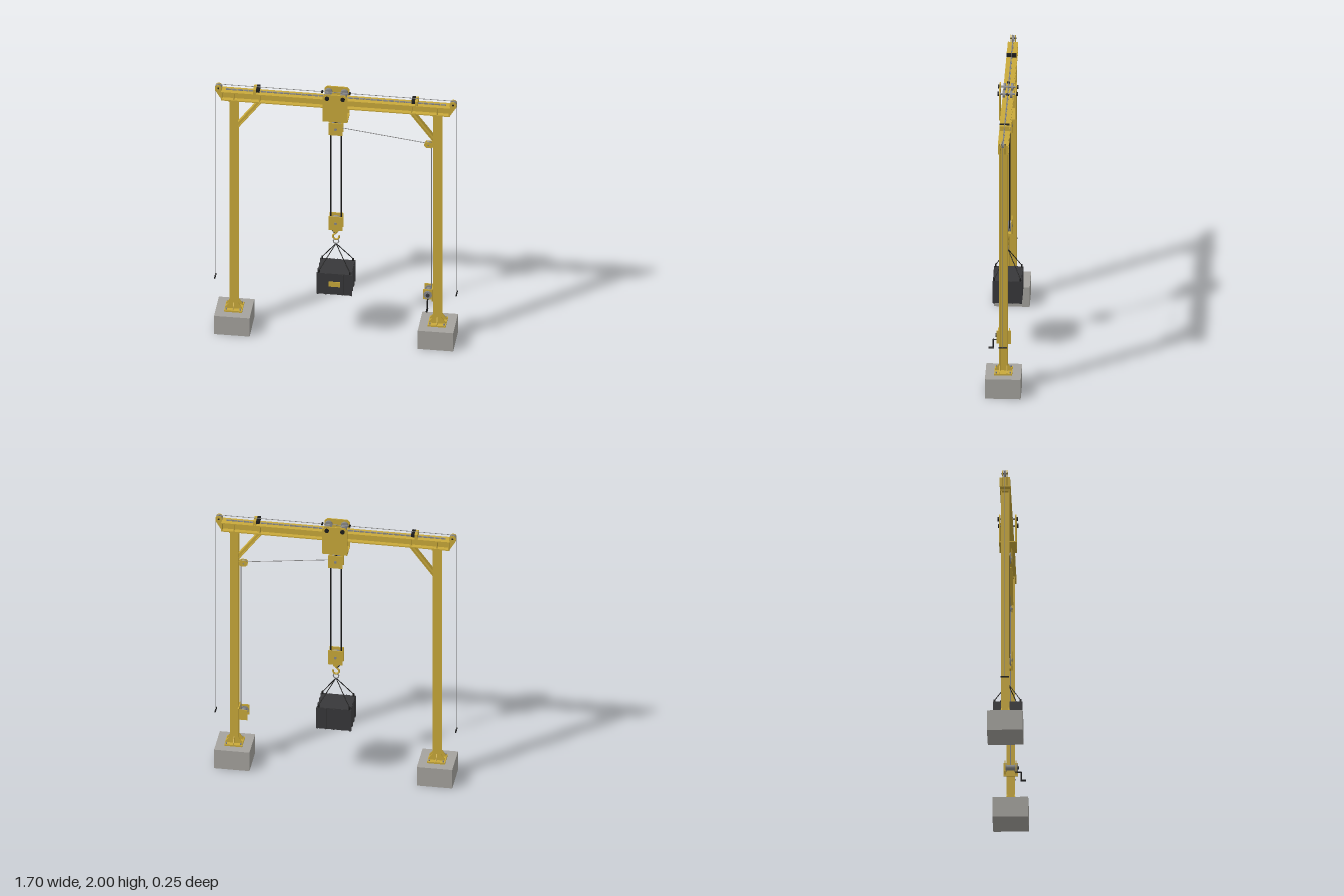
import * as THREE from 'three';

const mat = (color, o = {}) => new THREE.MeshStandardMaterial({ color, ...o });

export function createModel() {
  const root = new THREE.Group();
  const yellow = mat(0xc9a93a), dark = mat(0x38383a), black = mat(0x1c1c1c);
  const steel = mat(0x888888), concrete = mat(0xa5a39e);

  const add = (name, geo, m, x = 0, y = 0, z = 0, parent = root) => {
    const mesh = new THREE.Mesh(geo, m);
    mesh.name = name;
    mesh.position.set(x, y, z);
    parent.add(mesh);
    return mesh;
  };
  const box = (name, w, h, d, m, x, y, z, p) => add(name, new THREE.BoxGeometry(w, h, d), m, x, y, z, p);
  // Round part with its axis along z
  const disc = (name, r, len, m, x, y, z, p, n = 24) =>
    add(name, new THREE.CylinderGeometry(r, r, len, n).rotateX(Math.PI / 2), m, x, y, z, p);
  // Straight round bar between two points
  const rod = (name, a, b, r, m, p) => {
    const va = new THREE.Vector3(...a), d = new THREE.Vector3(...b).sub(va);
    const mesh = add(name, new THREE.CylinderGeometry(r, r, d.length(), 8), m, 0, 0, 0, p);
    mesh.position.copy(va).addScaledVector(d, 0.5);
    mesh.quaternion.setFromUnitVectors(new THREE.Vector3(0, 1, 0), d.normalize());
    return mesh;
  };
  // Flat plate from an outline in x and y, centred on z
  const plate = (name, pts, t, m, x, y, z, p) => {
    const s = new THREE.Shape(pts.map(q => new THREE.Vector2(...q)));
    return add(name, new THREE.ExtrudeGeometry(s, { depth: t, bevelEnabled: false }).translate(0, 0, -t / 2), m, x, y, z, p);
  };
  // Grooved wheel with its axis along z
  const sheave = (name, r, w, x, y, z, p) => {
    const pts = [[0, -w / 2], [r, -w / 2], [r, -w / 3], [r * 0.8, 0], [r, w / 3], [r, w / 2], [0, w / 2]];
    const geo = new THREE.LatheGeometry(pts.map(q => new THREE.Vector2(...q)), 28).rotateX(Math.PI / 2);
    return add(name, geo, mat(0x888888, { flatShading: true }), x, y, z, p);
  };
  const group = (name, p = root) => {
    const g = new THREE.Group();
    g.name = name;
    p.add(g);
    return g;
  };

  const colX = 0.711;

  // Columns, footings and beam ends, one set per side
  for (const s of [-1, 1]) {
    const side = s > 0 ? 'left' : 'right';
    box(side + 'Footing', 0.248, 0.15, 0.248, concrete, s * colX, 0.075, 0);

    const col = group(side + 'Column');
    col.position.x = s * colX;
    for (const z of [-1, 1]) box('columnFlange', 0.058, 1.72, 0.008, yellow, 0, 1.015, z * 0.026, col);
    box('columnWeb', 0.008, 1.72, 0.046, yellow, 0, 1.015, 0, col);
    box('capPlate', 0.07, 0.008, 0.068, yellow, 0, 1.872, 0, col);

    // Base plate with gussets and anchor bolts
    box('basePlate', 0.125, 0.012, 0.124, yellow, 0, 0.156, 0, col);
    for (const a of [-1, 1]) {
      for (const b of [-1, 1]) {
        plate('baseGusset', [[0, 0], [a * 0.03, 0], [a * 0.03, 0.008], [0, 0.05]], 0.006, yellow, a * 0.029, 0.162, b * 0.026, col);
        add('anchorBolt', new THREE.CylinderGeometry(0.006, 0.006, 0.012, 6), steel, a * 0.05, 0.167, b * 0.049, col);
      }
      const g = plate('baseGusset', [[0, 0], [0.03, 0], [0.03, 0.008], [0, 0.05]], 0.006, yellow, 0, 0.162, a * 0.03, col);
      g.rotation.y = -a * Math.PI / 2;
    }

    // Diagonal brace, a channel with two lips
    const brace = group(side + 'Brace');
    brace.position.set(s * 0.608, 1.768, 0);
    brace.rotation.z = s * 0.64;
    box('braceWeb', 0.026, 0.275, 0.008, yellow, 0, 0, 0, brace);
    for (const a of [-1, 1]) box('braceLip', 0.006, 0.275, 0.036, yellow, a * 0.011, 0, 0, brace);

    // Beam end plate and stiffeners
    box('endPlate', 0.008, 0.07, 0.072, yellow, s * 0.796, 1.91, 0);
    for (const x of [0.711, 0.53]) box('beamStiffener', 0.007, 0.056, 0.064, yellow, s * x, 1.91, 0);

    // End pulley between two cheeks
    const end = group(side + 'EndPulley');
    const outline = [[s * 0.795, 1.88], [s * 0.803, 1.88], [s * 0.842, 1.945]];
    for (let i = 0; i <= 8; i++) {
      const t = -0.4 + i * (Math.PI + 0.4) / 8;
      outline.push([s * (0.82 + 0.024 * Math.cos(t)), 1.963 + 0.024 * Math.sin(t)]);
    }
    for (const z of [-1, 1]) plate('pulleyCheek', outline, 0.005, yellow, 0, 0, z * 0.015, end);
    sheave('pulleyWheel', 0.024, 0.016, s * 0.82, 1.963, 0, end);
    disc('pulleyPin', 0.006, 0.046, black, s * 0.82, 1.963, 0, end);

    // Hanging pull cord with a cross handle
    rod('pullCord', [s * 0.843, 1.965, 0], [s * 0.843, 0.4, 0], 0.0022, steel);
    disc('pullHandle', 0.005, 0.06, black, s * 0.843, 0.4, 0);

    // Travel stop and its rubber buffer
    box('travelStop', 0.02, 0.036, 0.07, yellow, s * 0.565, 1.963, 0);
    box('stopBuffer', 0.024, 0.022, 0.07, black, s * 0.543, 1.972, 0);
  }

  // Main beam, an I section
  for (const y of [1.879, 1.941]) box('beamFlange', 1.6, 0.008, 0.072, yellow, 0, y, 0);
  box('beamWeb', 1.6, 0.06, 0.01, yellow, 0, 1.91, 0);

  // Chain along the top of the beam and the travel cord above it
  for (let i = 0; i < 38; i++)
    box('chainLink', 0.036, i % 2 ? 0.006 : 0.01, i % 2 ? 0.012 : 0.006, steel, -0.75 + i * 1.5 / 37, 1.95, 0);
  rod('travelCord', [-0.82, 1.986, 0], [0.82, 1.986, 0], 0.0022, steel);

  // Trolley
  const trolley = group('trolley');
  const side = [[-0.088, 1.78], [0.088, 1.78], [0.088, 1.982], [0.07, 2], [-0.07, 2], [-0.088, 1.982]];
  for (const z of [-1, 1]) plate('trolleyPlate', side, 0.008, yellow, 0, 0, z * 0.056, trolley);
  box('trolleyFloor', 0.176, 0.01, 0.116, yellow, 0, 1.785, 0, trolley);
  for (const x of [-0.055, 0.055]) {
    disc('axle', 0.007, 0.13, steel, x, 1.972, 0, trolley);
    for (const z of [-1, 1]) {
      disc('wheel', 0.026, 0.016, steel, x, 1.971, z * 0.026, trolley);
      disc('axleNut', 0.015, 0.012, black, x, 1.972, z * 0.064, trolley, 16);
    }
  }
  for (const x of [-0.096, 0.096]) disc('cordClamp', 0.007, 0.02, black, x, 1.986, 0, trolley, 12);

  // Upper and lower pulley blocks
  const block = (name, y, h) => {
    const g = group(name);
    for (const z of [-1, 1]) {
      box('blockCheek', 0.1, h, 0.006, yellow, 0, y, z * 0.027, g);
      sheave('blockSheave', 0.04, 0.018, 0, y, z * 0.011, g);
    }
    disc('blockPin', 0.01, 0.066, steel, 0, y, 0, g);
    return g;
  };
  block('upperBlock', 1.7, 0.1);
  block('lowerBlock', 0.922, 0.112);
  rod('blockHanger', [0, 1.72, 0], [0, 1.785, 0], 0.01, black);
  for (const x of [-0.037, 0.037])
    for (const z of [-0.011, 0.011]) rod('hoistRope', [x, 0.92, z], [x, 1.7, z], 0.003, black);

  // Hook and ring
  const hook = group('hook');
  box('hookCrosshead', 0.035, 0.022, 0.04, yellow, 0, 0.858, 0, hook);
  rod('hookShank', [0, 0.86, 0], [0, 0.828, 0], 0.009, yellow, hook);
  const curve = new THREE.CatmullRomCurve3([[0, 0.838], [-0.004, 0.825], [-0.02, 0.81], [-0.02, 0.79], [-0.004, 0.777],
    [0.015, 0.782], [0.022, 0.8], [0.02, 0.812]].map(p => new THREE.Vector3(p[0], p[1], 0)));
  add('hookBend', new THREE.TubeGeometry(curve, 30, 0.0065, 8), yellow, 0, 0, 0, hook);
  rod('safetyLatch', [-0.012, 0.828, 0], [-0.024, 0.845, 0], 0.004, black, hook);
  add('liftingRing', new THREE.TorusGeometry(0.019, 0.004, 8, 24), steel, 0, 0.76, 0, hook);

  // Crate with ribs, lid rim, lugs and slings
  const crate = group('crate');
  box('crateBody', 0.236, 0.17, 0.192, dark, 0, 0.465, 0, crate);
  for (const z of [-1, 1])
    for (const x of [-0.115, -0.058, 0, 0.058, 0.115])
      if (z < 0 || Math.abs(x) > 0.05) box('crateRib', 0.012, 0.168, 0.008, dark, x, 0.464, z * 0.098, crate);
  for (const x of [-1, 1]) {
    for (const z of [-0.09, -0.03, 0.03, 0.09]) box('crateSideRib', 0.008, 0.168, 0.012, dark, x * 0.119, 0.464, z, crate);
    for (const z of [-1, 1]) {
      box('crateLug', 0.012, 0.022, 0.012, black, x * 0.108, 0.558, z * 0.09, crate);
      rod('sling', [0, 0.741, 0], [x * 0.108, 0.565, z * 0.09], 0.003, black, crate);
    }
  }
  box('cratePlate', 0.08, 0.04, 0.004, yellow, 0, 0.465, 0.098, crate);

  // Hand winch on the inner face of the left column
  const winch = group('winch');
  box('winchBack', 0.008, 0.1, 0.1, yellow, 0.678, 0.4, 0, winch);
  for (const z of [-1, 1]) box('winchCheek', 0.064, 0.08, 0.006, yellow, 0.646, 0.4, z * 0.038, winch);
  disc('winchDrum', 0.02, 0.07, steel, 0.647, 0.4, 0, winch);
  for (const z of [-1, 1]) disc('drumFlange', 0.03, 0.005, steel, 0.647, 0.4, z * 0.03, winch);
  disc('winchGear', 0.03, 0.008, steel, 0.647, 0.4, 0.046, winch, 20);
  disc('gearHub', 0.013, 0.008, dark, 0.647, 0.4, 0.053, winch);
  rod('crankShaft', [0.647, 0.365, 0.03], [0.647, 0.365, 0.075], 0.005, black, winch);
  rod('crankArm', [0.647, 0.368, 0.073], [0.647, 0.3, 0.073], 0.005, black, winch);
  rod('crankGrip', [0.647, 0.302, 0.07], [0.647, 0.302, 0.107], 0.007, black, winch);

  // Guide pulley and winch cable
  const guide = group('guidePulley');
  for (const z of [-1, 1]) plate('guideCheek', [[0.618, 1.607], [0.632, 1.592], [0.662, 1.592], [0.684, 1.602], [0.684, 1.625],
    [0.662, 1.638], [0.632, 1.638], [0.618, 1.623]], 0.004, yellow, 0, 0, z * 0.012, guide);
  sheave('guideWheel', 0.022, 0.016, 0.647, 1.615, 0, guide);
  disc('guidePin', 0.005, 0.034, steel, 0.647, 1.615, 0, guide, 12);
  rod('winchCable', [0.667, 0.4, 0], [0.667, 1.615, 0], 0.0025, steel);
  rod('leadCable', [0.647, 1.622, 0], [0.03, 1.7, 0], 0.0025, steel);

  return root;
}
